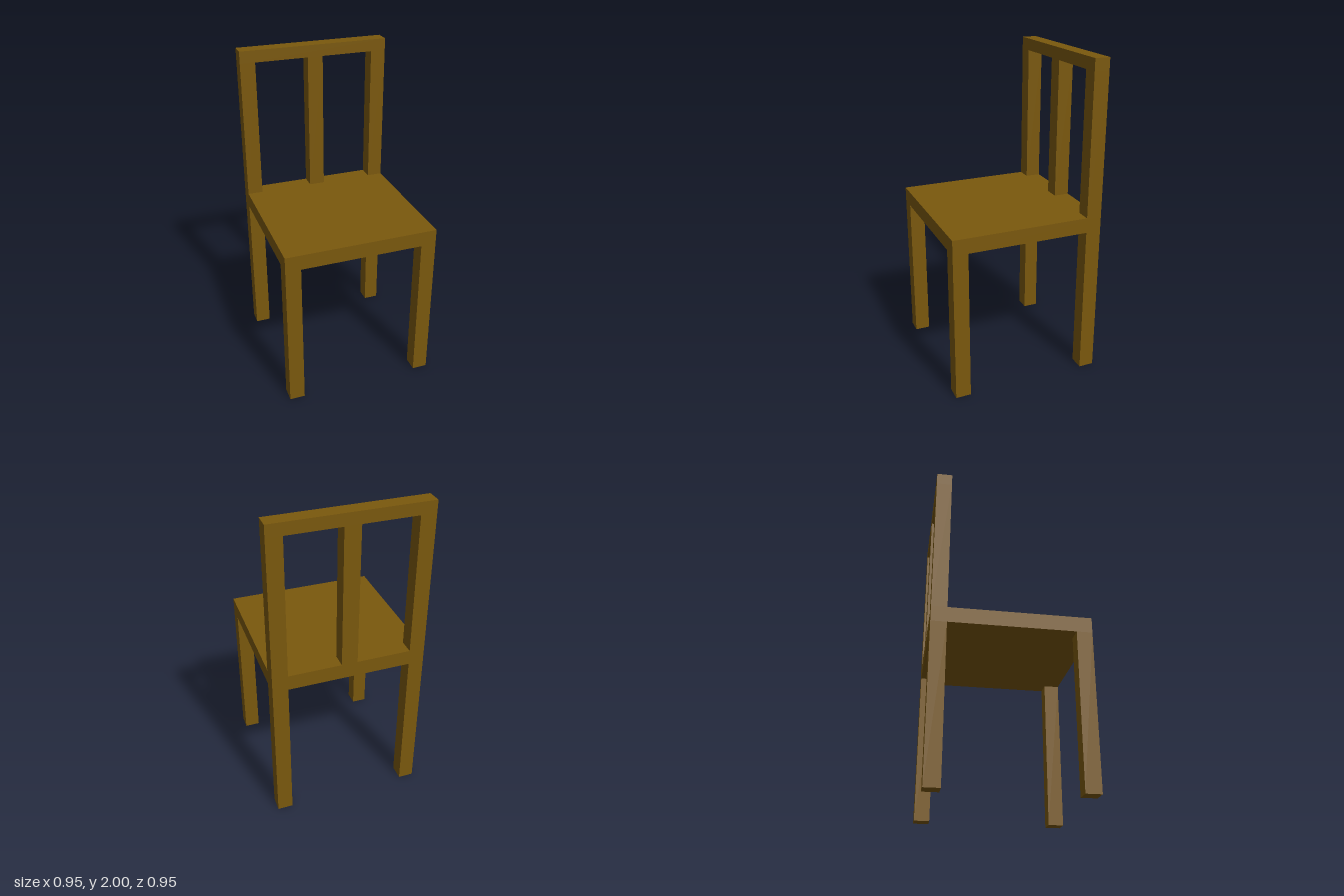
import * as THREE from 'three';

export function createModel() {
  const model = new THREE.Group();
  model.name = 'chair';
  const wood = new THREE.MeshStandardMaterial({ color: 0x7a580d, flatShading: true });

  const size = 0.95;            // seat width and depth
  const post = 0.095;           // square section of legs and posts
  const seatBottom = 0.955, seatTop = 1.05;
  const railBottom = 1.925, top = 2;
  const edge = (size - post) / 2;

  // Box spanning y0..y1, centred on x and z
  function addBox(name, width, depth, y0, y1, x, z) {
    const mesh = new THREE.Mesh(new THREE.BoxGeometry(width, y1 - y0, depth), wood);
    mesh.position.set(x, (y0 + y1) / 2, z);
    mesh.name = name;
    model.add(mesh);
  }

  addBox('seat', size, size, seatBottom, seatTop, 0, 0);

  // Legs and back posts, mirrored left and right
  for (const [side, s] of [['left', 1], ['right', -1]]) {
    addBox(side + 'FrontLeg', post, post, 0, seatBottom, s * edge, edge);
    addBox(side + 'BackLeg', post, post, 0, seatBottom, s * edge, -edge);
    addBox(side + 'BackPost', post, post, seatTop, railBottom, s * edge, -edge);
  }

  // Backrest: middle slat and top rail
  addBox('backSlat', 0.098, post, seatTop, railBottom, 0.004, -edge);
  addBox('topRail', size, post, railBottom, top, 0, -edge);

  return model;
}
